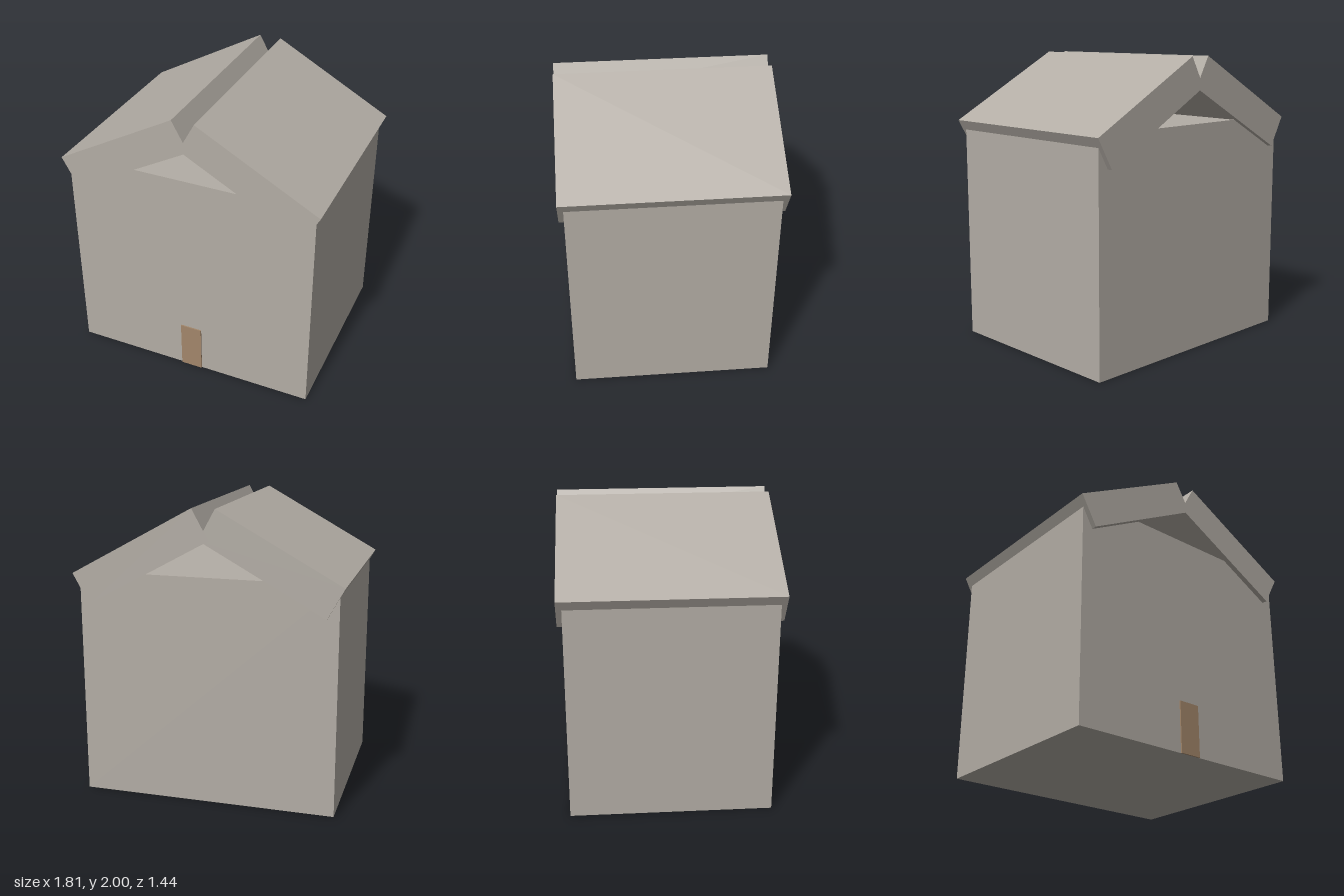
import * as THREE from 'three';

const wallStone = new THREE.MeshStandardMaterial({ name: 'warm grey', color: 0xb3ada5 });
const doorWood = new THREE.MeshStandardMaterial({ name: 'door brown', color: 0xa2866a });

function box(name, material, size, position) {
  const mesh = new THREE.Mesh(new THREE.BoxGeometry(...size), material);
  mesh.name = name;
  mesh.position.set(...position);
  return mesh;
}

export function createModel() {
  const house = new THREE.Group();
  house.name = 'house';

  // Flat-topped body
  house.add(box('walls', wallStone, [1.742, 1.555, 1.362], [0, 0.7775, 0]));

  // Two tilted slabs crossing at the ridge, leaving a notch on top and open gables
  for (const side of [1, -1]) {
    const slab = box(side > 0 ? 'leftRoofSlab' : 'rightRoofSlab', wallStone,
      [0.947, 0.232, 1.436], [side * 0.4365, 1.671, 0]);
    slab.rotation.z = -side * THREE.MathUtils.degToRad(28.8);
    house.add(slab);
  }

  // Thin door on the front wall
  house.add(box('door', doorWood, [0.154, 0.348, 0.009], [0, 0.174, 0.6855]));

  return house;
}
